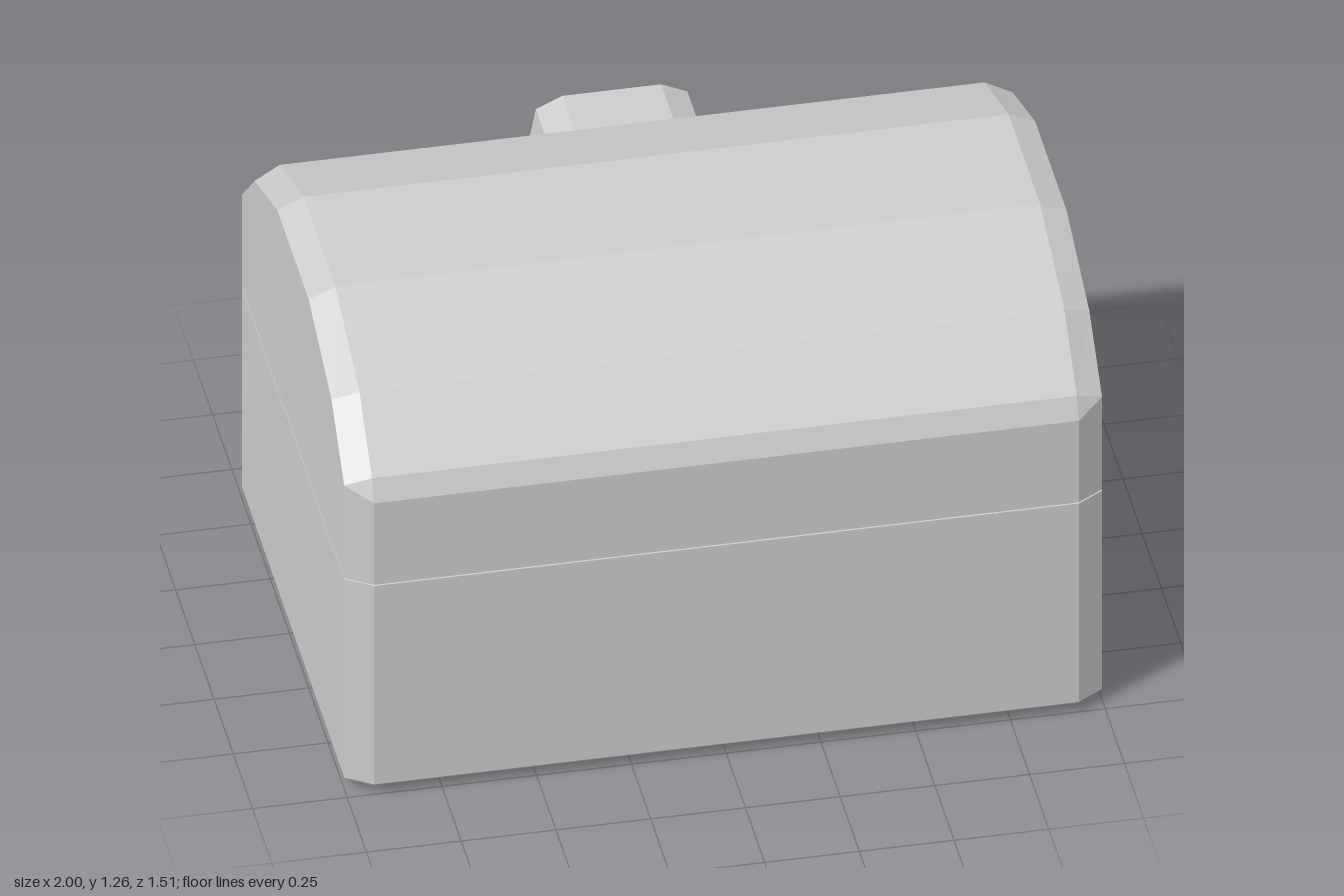
import * as THREE from 'three';

const CENTRE_Z = 0.045; // the chest body sits forward of the lock
const LOCK_Y = 0.87;

// Solid from a bevelled profile: half-profiles of [depth, y], mirrored front to back,
// with a small end section at x = 1 and the full section at x = 0.93.
function loftAlongX(endHalf, fullHalf) {
  const section = (x, half) => [
    ...half.map(([d, y]) => new THREE.Vector3(x, y, CENTRE_Z + d)),
    ...[...half].reverse().map(([d, y]) => new THREE.Vector3(x, y, CENTRE_Z - d)),
  ];
  const rings = [section(-1, endHalf), section(-0.93, fullHalf), section(0.93, fullHalf), section(1, endHalf)];
  const pos = [];
  const tri = (a, b, c) => {
    if (new THREE.Triangle(a, b, c).getArea() > 1e-7) for (const p of [a, b, c]) pos.push(p.x, p.y, p.z);
  };
  const n = rings[0].length;
  for (let s = 0; s < 3; s++) {
    for (let i = 0; i < n; i++) {
      const j = (i + 1) % n;
      tri(rings[s][i], rings[s + 1][i], rings[s + 1][j]);
      tri(rings[s][i], rings[s + 1][j], rings[s][j]);
    }
  }
  for (let i = 1; i < n - 1; i++) {
    tri(rings[0][0], rings[0][i], rings[0][i + 1]);
    tri(rings[3][0], rings[3][i + 1], rings[3][i]);
  }
  const geo = new THREE.BufferGeometry();
  geo.setAttribute('position', new THREE.Float32BufferAttribute(pos, 3));
  geo.computeVertexNormals();
  return geo;
}

// Extrudes an outline towards the back, from z = near to z = far
function extrudeBack(points, near, far) {
  const shape = new THREE.Shape(points.map(([x, y]) => new THREE.Vector2(x, y)));
  const geo = new THREE.ExtrudeGeometry(shape, { depth: near - far, bevelEnabled: false });
  return geo.rotateY(Math.PI).translate(0, LOCK_Y, near);
}

// Slopes the outer face of a lock plate away from its middle line
function bowFace(geo, far) {
  const p = geo.attributes.position;
  for (let i = 0; i < p.count; i++) {
    if (p.getZ(i) > far + 0.001) continue;
    const side = Math.abs(p.getX(i)) > 0.21 ? 0.012 : 0;
    p.setZ(i, far + 0.1 * Math.abs(p.getY(i) - LOCK_Y) + side);
  }
  geo.computeVertexNormals();
  return geo;
}

export function createModel() {
  const chest = new THREE.Group();
  chest.name = 'chest';
  const grey = new THREE.MeshStandardMaterial({ color: 0xcccccc });
  grey.name = 'light grey';
  grey.flatShading = true;
  const add = (name, geo, parent = chest) => {
    const mesh = new THREE.Mesh(geo, grey);
    mesh.name = name;
    parent.add(mesh);
  };

  // Box with bevelled lower edges and corners
  add('base', loftAlongX(
    [[0.665, 0.035], [0.665, 0.035], [0.665, 0.663]],
    [[0.665, 0], [0.71, 0.035], [0.71, 0.663]],
  ));

  // Faceted barrel lid, with a hairline gap above the base
  add('lid', loftAlongX(
    [[0.665, 0.667], [0.665, 0.96], [0.665, 0.96], [0.5, 1.118], [0.205, 1.23]],
    [[0.71, 0.667], [0.71, 0.925], [0.682, 0.985], [0.52, 1.145], [0.205, 1.262]],
  ));

  // Lock on the back: solid body and a bowed plate with a keyhole
  const lock = new THREE.Group();
  lock.name = 'lock';
  chest.add(lock);
  const upperEdge = [[0.23, 0], [0.2, 0.165], [0.13, 0.2], [-0.13, 0.2], [-0.2, 0.165], [-0.23, 0]];
  const lowerEdge = upperEdge.map(([x, y]) => [-x, -y]);
  add('lockBody', extrudeBack([...upperEdge, ...lowerEdge.slice(1, -1)], -0.5, -0.71), lock);

  // Round top of the keyhole, traced from left to right
  const arc = [];
  for (let i = 0; i <= 12; i++) {
    const a = THREE.MathUtils.degToRad(235 - (290 * i) / 12);
    arc.push([0.07 * Math.cos(a), 0.07 + 0.07 * Math.sin(a)]);
  }
  const upper = [...upperEdge, [-0.043, 0], ...arc, [0.043, 0]];
  const lower = [...lowerEdge, [0.043, 0], [0.062, -0.125], [-0.062, -0.125], [-0.043, 0]];
  add('lockPlateUpper', bowFace(extrudeBack(upper, -0.71, -0.757), -0.757), lock);
  add('lockPlateLower', bowFace(extrudeBack(lower, -0.71, -0.757), -0.757), lock);

  return chest;
}
